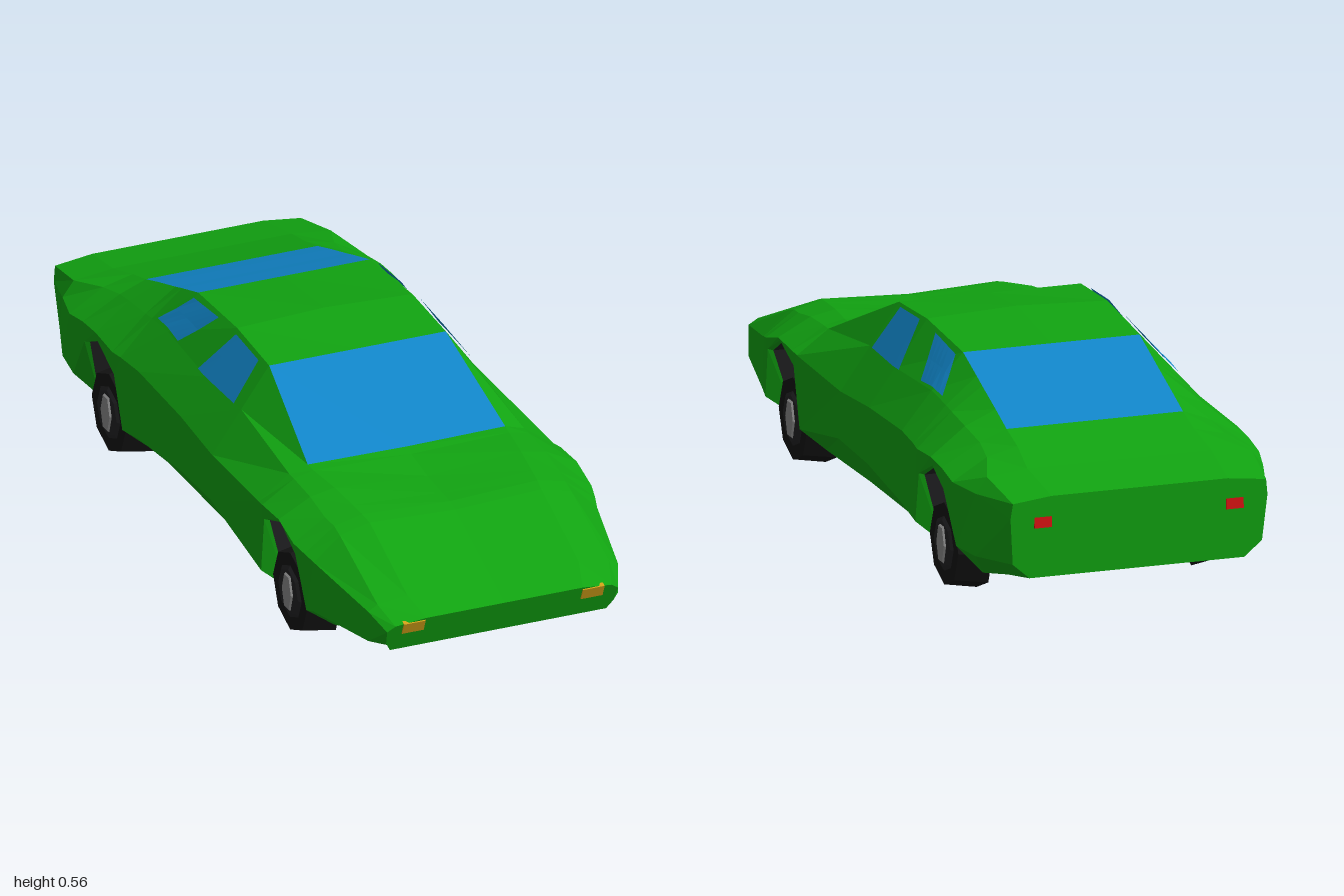
import * as THREE from 'three';

const mat = (color, side = THREE.FrontSide) => new THREE.MeshStandardMaterial({ color, flatShading: true, side });
const paint = mat(0x11a311), glass = mat(0x1185c8, THREE.DoubleSide), black = mat(0x222224),
  rubber = mat(0x141414), metal = mat(0x8a8a8a), amber = mat(0xd0a018), red = mat(0xcc1111);

// Lower half of each cross-section: z, floor y, wheel well?, lip x y, sill x y
const LOWER = [
  [1.0, .155, 0, .29, .155, .305, .18],
  [.93, .148, 0, .27, .148, .335, .175],
  [.70, .10, 0, .29, .10, .38, .16],
  [.665, .095, 0, .31, .095, .385, .15],
  [.62, .09, 1, .38, .28, .395, .285],
  [.53, .085, 1, .385, .33, .395, .332],
  [.43, .08, 1, .38, .29, .395, .295],
  [.40, .08, 0, .32, .08, .39, .14],
  [.10, .08, 0, .31, .08, .395, .20],
  [-.10, .08, 0, .31, .08, .39, .19],
  [-.35, .08, 0, .31, .08, .39, .16],
  [-.45, .08, 0, .32, .08, .39, .14],
  [-.49, .08, 1, .38, .27, .395, .275],
  [-.59, .08, 1, .385, .32, .395, .322],
  [-.67, .08, 1, .38, .28, .395, .285],
  [-.75, .085, 0, .32, .085, .39, .16],
  [-.85, .105, 0, .29, .105, .375, .16],
  [-1.0, .13, 0, .28, .13, .325, .17],
];
// Upper half: shoulder x y, belt x y, roof edge x y, centre y
const UPPER = [
  [.31, .22, .29, .235, .21, .245, .245],
  [.335, .255, .31, .27, .23, .28, .275],
  [.38, .295, .31, .355, .23, .375, .365],
  [.39, .305, .31, .365, .235, .383, .372],
  [.40, .315, .315, .37, .24, .388, .375],
  [.40, .34, .315, .385, .25, .398, .38],
  [.40, .335, .315, .39, .262, .402, .395],
  [.397, .33, .315, .39, .265, .405, .402],
  [.39, .32, .312, .43, .237, .535, .535],
  [.387, .335, .318, .43, .235, .547, .557],
  [.39, .345, .312, .44, .23, .53, .53],
  [.395, .34, .31, .43, .23, .497, .497],
  [.40, .338, .31, .425, .23, .483, .483],
  [.40, .345, .31, .415, .23, .45, .45],
  [.40, .34, .30, .395, .23, .422, .422],
  [.40, .325, .31, .38, .23, .40, .40],
  [.375, .32, .345, .36, .24, .372, .372],
  [.335, .29, .33, .33, .23, .342, .342],
];
const WELL_X = .27;

// Half section from floor centre outwards and up to roof centre
const halves = LOWER.map(([z, yb, well, lx, ly, sx, sy], i) => {
  const [ax, ay, bx, by, cx, cy, yc] = UPPER[i];
  const slant = i === 0 ? -.44 : i === LOWER.length - 1 ? .1 : 0;
  const p = (x, y) => new THREE.Vector3(x, y, z + slant * (yc - y));
  return [p(0, yb), p(WELL_X, yb), p(WELL_X, well ? ly : yb), p(lx, ly), p(sx, sy),
    p(ax, ay), p(bx, by), p(cx, cy), p(0, yc)];
});
const flip = v => new THREE.Vector3(-v.x, v.y, v.z);

function meshFromQuads(name, quads, material) {
  const pos = [];
  const area = (a, b, c) => b.clone().sub(a).cross(c.clone().sub(a)).length();
  for (const [a, b, c, d] of quads)
    for (const t of [[a, b, c], [a, c, d]])
      if (area(...t) > 1e-7) for (const v of t) pos.push(v.x, v.y, v.z);
  const g = new THREE.BufferGeometry();
  g.setAttribute('position', new THREE.Float32BufferAttribute(pos, 3));
  g.computeVertexNormals();
  const m = new THREE.Mesh(g, material);
  m.name = name;
  return m;
}

// Loft the shell, sorting faces into paint, wheel wells and screens
function buildBody() {
  const shell = [], wells = [], front = [], rear = [];
  for (let i = 0; i < halves.length - 1; i++) {
    const z = LOWER[i][0], arch = LOWER[i][2] || LOWER[i + 1][2];
    for (let k = 0; k < 8; k++) {
      const A = halves[i], B = halves[i + 1];
      const quad = [A[k], B[k], B[k + 1], A[k + 1]];
      let list = shell;
      if (arch && (k === 1 || k === 2)) list = wells;
      if (k === 7 && z === .40) list = front;
      if (k === 7 && z <= -.35 && z > -.67) list = rear;
      list.push(quad, quad.map(flip).reverse());
    }
  }
  // Nose and tail panels
  const nose = halves[0], tail = halves[halves.length - 1];
  for (let k = 0; k < 8; k++) {
    shell.push([flip(nose[k]), nose[k], nose[k + 1], flip(nose[k + 1])]);
    shell.push([tail[k], flip(tail[k]), flip(tail[k + 1]), tail[k + 1]]);
  }
  return [meshFromQuads('bodyShell', shell, paint), meshFromQuads('wheelWells', wells, black),
    meshFromQuads('windscreen', front, glass), meshFromQuads('rearWindow', rear, glass)];
}

// Point on the cabin side: t runs from belt (0) to roof edge (1)
function sidePoint(z, t) {
  const i = LOWER.findIndex((s, n) => n > 0 && s[0] <= z) - 1;
  const f = (LOWER[i][0] - z) / (LOWER[i][0] - LOWER[i + 1][0]);
  const at = k => halves[i][k].clone().lerp(halves[i + 1][k], f);
  return at(6).lerp(at(7), t).add(new THREE.Vector3(.006, .004, 0));
}

// Side pane following the cabin; corners are [z, t]: bottom front, bottom back, top back, top front
function sideWindow(name, [bf, bb, tb, tf], side) {
  const n = 6, quads = [], mix = THREE.MathUtils.lerp;
  const at = (u, v) => {
    const p = sidePoint(mix(mix(bf[0], bb[0], u), mix(tf[0], tb[0], u), v),
      mix(mix(bf[1], bb[1], u), mix(tf[1], tb[1], u), v));
    return side > 0 ? p : flip(p);
  };
  for (let i = 0; i < n; i++)
    for (let j = 0; j < 2; j++) {
      const u = i / n, w = (i + 1) / n, v = j / 2, h = (j + 1) / 2;
      const q = [at(u, v), at(w, v), at(w, h), at(u, h)];
      quads.push(side > 0 ? q : q.reverse());
    }
  return meshFromQuads(name, quads, glass);
}

// Tapered eight-sided tyre with dark rim and narrow hub
function wheel(name, side, y, z) {
  const g = new THREE.Group();
  g.name = name;
  const disc = (part, rOut, rIn, w, sides, x, material) => {
    const m = new THREE.Mesh(new THREE.CylinderGeometry(rOut, rIn, w, sides), material);
    m.name = part;
    m.position.y = x;
    g.add(m);
    return m;
  };
  disc('tyre', .105, .12, .085, 8, 0, rubber);
  disc('rim', .06, .075, .008, 8, .044, black);
  disc('hub', .05, .055, .006, 6, .05, metal).scale.z = .55;
  g.rotation.z = -side * Math.PI / 2;
  g.position.set(side * .322, y, z);
  return g;
}

function lamp(name, material, size, pos, tilt) {
  const m = new THREE.Mesh(new THREE.BoxGeometry(...size), material);
  m.name = name;
  m.position.set(...pos);
  m.rotation.x = tilt;
  return m;
}

export function createModel() {
  const car = new THREE.Group();
  car.name = 'car';
  car.add(...buildBody());
  for (const side of [1, -1]) {
    const s = side > 0 ? 'left' : 'right';
    car.add(
      sideWindow(s + 'FrontWindow', [[.07, 0], [-.14, 0], [-.08, .93], [.06, .93]], side),
      sideWindow(s + 'QuarterWindow', [[-.28, .05], [-.42, .1], [-.34, .88], [-.19, .93]], side),
      wheel(s + 'FrontWheel', side, .132, .52),
      wheel(s + 'RearWheel', side, .12, -.59),
      lamp(s + 'Indicator', amber, [.058, .034, .012], [side * .24, .225, .988], .41),
      lamp(s + 'TailLamp', red, [.045, .028, .01], [side * .25, .275, -.991], .1),
    );
  }
  return car;
}
